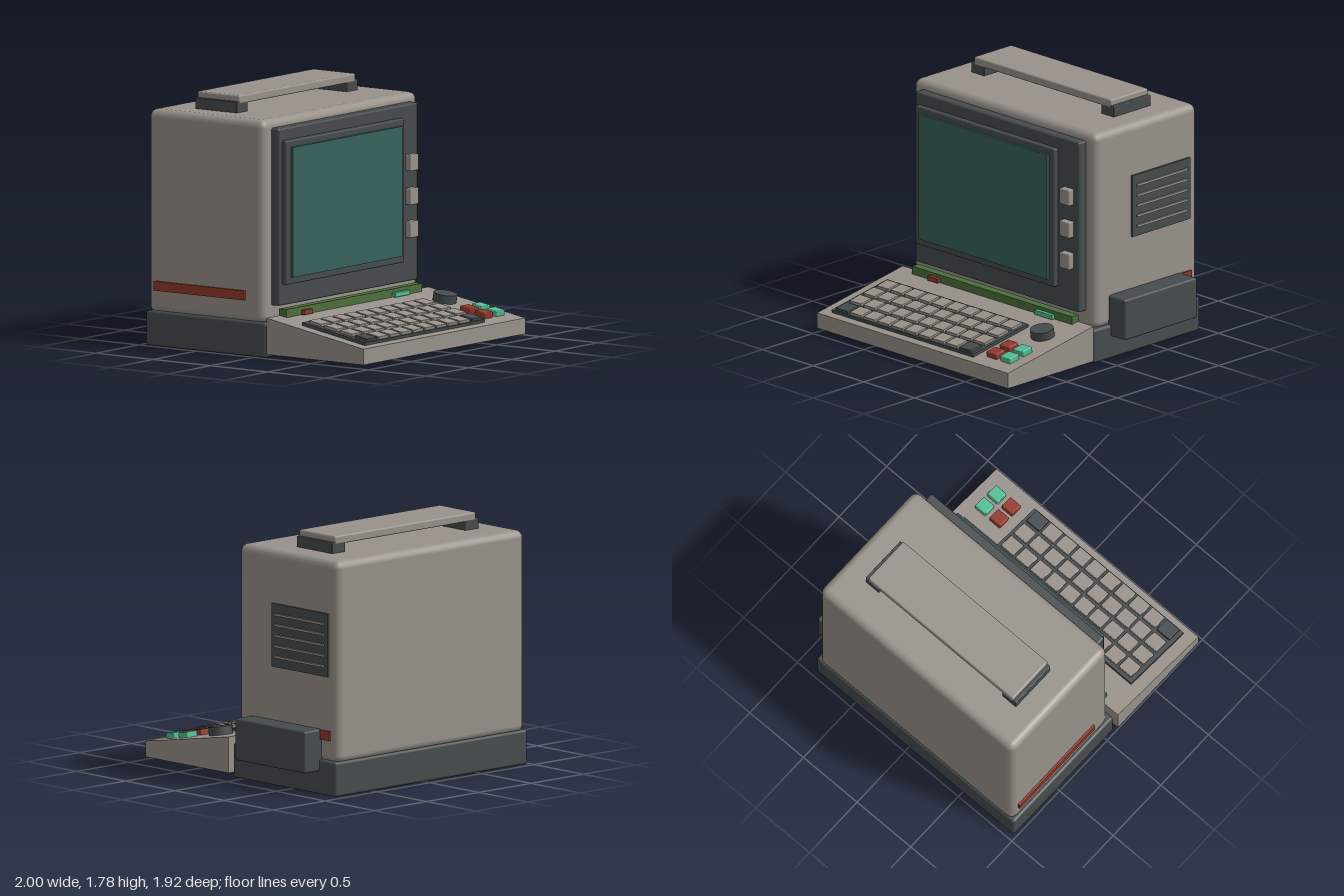
import * as THREE from 'three';
import { RoundedBoxGeometry } from 'three/addons/geometries/RoundedBoxGeometry.js';

const paint = (name, color) => {
  const m = new THREE.MeshStandardMaterial({ color });
  m.name = name;
  return m;
};

export function createModel() {
  const root = new THREE.Group();
  root.name = 'portableTerminal';

  const beige = paint('warm grey plastic', 0x99928b);
  const dark = paint('charcoal plastic', 0x464b4d);
  const glass = paint('teal screen', 0x37625d);
  const red = paint('brick red', 0x93382b);
  const mint = paint('mint green', 0x52bd93);
  const moss = paint('moss green', 0x4c6e3c);

  // Box from its min and max corners, with an optional bevel radius
  function box(parent, name, mat, [x0, x1], [y0, y1], [z0, z1], r = 0) {
    const w = x1 - x0, h = y1 - y0, d = z1 - z0;
    const geo = r ? new RoundedBoxGeometry(w, h, d, 2, r) : new THREE.BoxGeometry(w, h, d);
    const mesh = new THREE.Mesh(geo, mat);
    mesh.name = name;
    mesh.position.set((x0 + x1) / 2, (y0 + y1) / 2, (z0 + z1) / 2);
    parent.add(mesh);
  }

  // Cabinet and plinth
  box(root, 'cabinet', beige, [-0.96, 0.84], [0.23, 1.665], [-0.955, 0.056], 0.055);
  box(root, 'plinth', dark, [-0.98, 0.86], [0, 0.247], [-0.958, 0.09], 0.02);

  // Display
  const display = new THREE.Group();
  display.name = 'display';
  root.add(display);
  box(display, 'bezel', dark, [-0.867, 0.747], [0.355, 1.605], [0.03, 0.123], 0.015);
  box(display, 'screenFrame', dark, [-0.834, 0.538], [0.503, 1.518], [0.1, 0.162], 0.012);
  box(display, 'screen', glass, [-0.78, 0.488], [0.553, 1.47], [0.14, 0.18]);
  for (const y of [1.195, 0.957, 0.725])
    box(display, 'controlButton', beige, [0.598, 0.693], [y - 0.058, y + 0.058], [0.1, 0.171], 0.008);

  // Carrying handle
  const handle = new THREE.Group();
  handle.name = 'handle';
  root.add(handle);
  for (const x of [-0.698, 0.578])
    box(handle, 'handleFoot', dark, [x - 0.063, x + 0.063], [1.64, 1.742], [-0.69, -0.325], 0.006);
  box(handle, 'handleBar', beige, [-0.735, 0.615], [1.725, 1.785], [-0.692, -0.323], 0.012);

  // Vent with slats on the left side
  const vent = new THREE.Group();
  vent.name = 'vent';
  root.add(vent);
  box(vent, 'ventPanel', dark, [0.82, 0.855], [0.84, 1.29], [-0.867, -0.297]);
  for (let i = 0; i < 5; i++) {
    const y = 0.914 + i * 0.075;
    box(vent, 'ventSlat', beige, [0.84, 0.867], [y - 0.008, y + 0.008], [-0.832, -0.333]);
  }

  // Side module and red trim
  box(root, 'sideModule', dark, [0.82, 1.0], [0.163, 0.46], [-0.79, -0.078], 0.015);
  box(root, 'leftTrim', red, [0.82, 0.855], [0.39, 0.457], [-0.885, -0.1]);
  box(root, 'rightTrim', red, [-0.977, -0.94], [0.39, 0.457], [-0.89, -0.1]);

  // Status strip above the keyboard
  const strip = new THREE.Group();
  strip.name = 'statusStrip';
  root.add(strip);
  box(strip, 'strip', moss, [-0.848, 0.727], [0.25, 0.335], [0.108, 0.172]);
  box(strip, 'redLamp', red, [-0.674, -0.573], [0.277, 0.311], [0.16, 0.2], 0.005);
  box(strip, 'mintLamp', mint, [0.38, 0.556], [0.277, 0.311], [0.16, 0.2], 0.005);

  // Keyboard wedge, extruded across x from its side profile
  const keyboard = new THREE.Group();
  keyboard.name = 'keyboard';
  root.add(keyboard);
  const frontZ = 0.958, backZ = 0.113, frontY = 0.142, backY = 0.287;
  const side = new THREE.Shape();
  side.moveTo(-frontZ, 0.03);
  side.lineTo(-backZ, 0.03);
  side.lineTo(-backZ, backY);
  side.lineTo(-frontZ, frontY);
  const wedgeGeo = new THREE.ExtrudeGeometry(side, { depth: 1.88, bevelEnabled: false });
  wedgeGeo.rotateY(Math.PI / 2).translate(-1, 0, 0);
  const wedge = new THREE.Mesh(wedgeGeo, beige);
  wedge.name = 'keyboardCase';
  keyboard.add(wedge);

  // Tilted deck: local y = 0 is the sloping top, local z runs back from the front edge
  const tilt = Math.atan2(backY - frontY, frontZ - backZ);
  const deck = new THREE.Group();
  deck.name = 'keyboardDeck';
  deck.position.set(0, frontY, frontZ);
  deck.rotation.x = tilt;
  keyboard.add(deck);
  const onDeck = (name, mat, x, z0, z1, y0, y1, r) =>
    box(deck, name, mat, x, [y0, y1], [z0, z1].map(z => (z - frontZ) / Math.cos(tilt)), r);

  onDeck('keyTray', dark, [-0.91, 0.48], 0.353, 0.902, -0.01, 0.022);
  for (let row = 0; row < 4; row++)
    for (let col = 0; col < 10; col++) {
      const x = -0.877 + col * 0.135, z = 0.382 + row * 0.134;
      const corner = row === 3 && (col === 0 || col === 9);
      onDeck(corner ? 'cornerKey' : 'key', corner ? dark : beige, [x, x + 0.116], z, z + 0.108, 0.01, 0.042, 0.005);
    }

  // Command buttons, two red and two mint
  for (const [name, mat, x] of [['redButton', red, 0.556], ['mintButton', mint, 0.691]])
    for (const z of [0.624, 0.752])
      onDeck(name, mat, [x, x + 0.099], z, z + 0.092, -0.01, 0.04, 0.007);

  // Dial
  const dial = new THREE.Mesh(new THREE.CylinderGeometry(0.084, 0.084, 0.07, 20), dark);
  dial.name = 'dial';
  dial.position.set(0.673, 0.025, (0.408 - frontZ) / Math.cos(tilt));
  deck.add(dial);

  return root;
}
